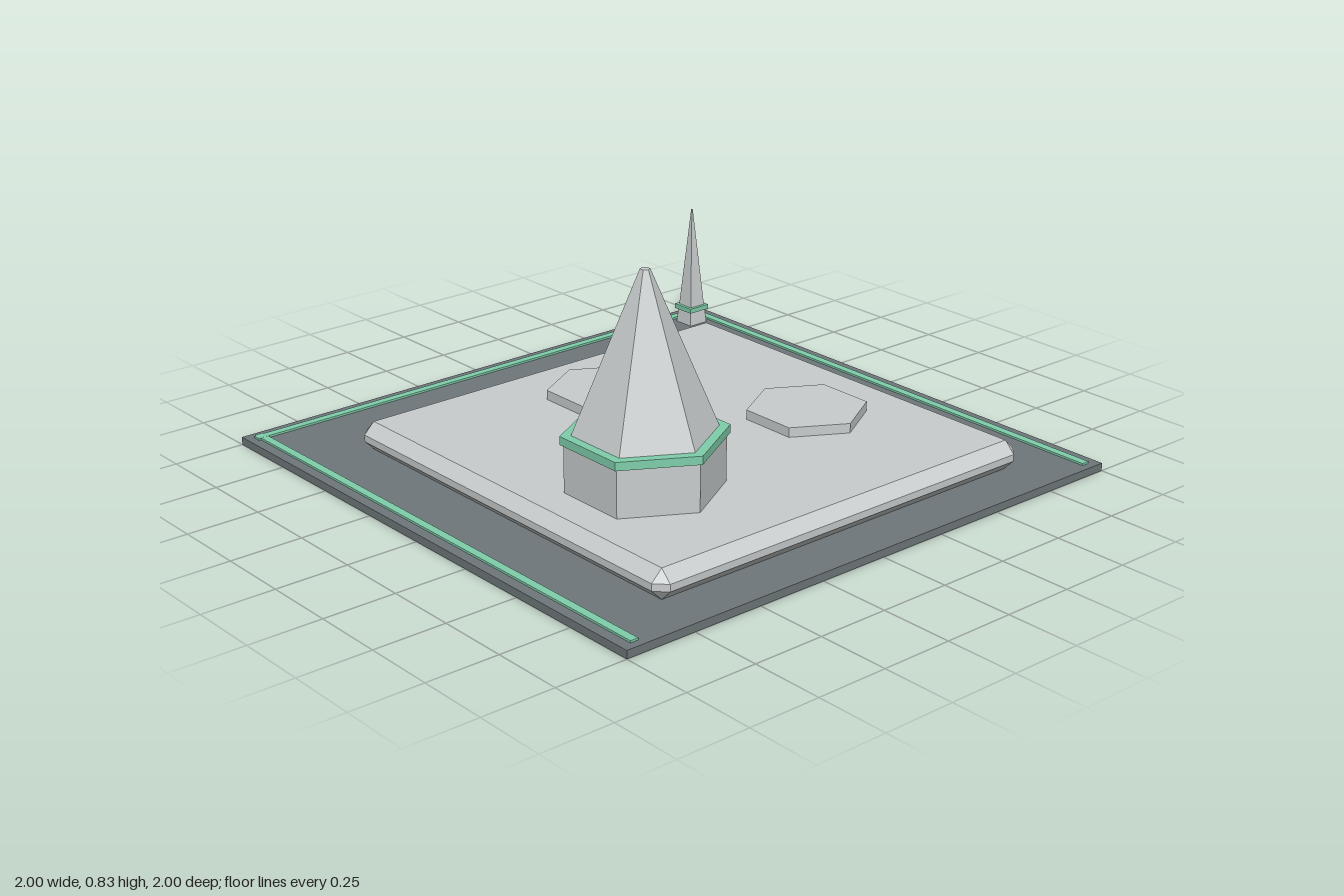
import * as THREE from 'three';
import { ConvexGeometry } from 'three/addons/geometries/ConvexGeometry.js';

export function createModel() {
  const mat = (name, color) => {
    const m = new THREE.MeshStandardMaterial({ color });
    m.name = name;
    return m;
  };
  const stone = mat('pale grey', 0xc9cdcd);
  const ground = mat('slate grey', 0x6e777a);
  const trim = mat('mint green', 0x80cfab);

  const model = new THREE.Group();
  model.name = 'towerPlaza';

  const add = (parent, name, geometry, material, x = 0, y = 0, z = 0) => {
    const mesh = new THREE.Mesh(geometry, material);
    mesh.name = name;
    mesh.position.set(x, y, z);
    parent.add(mesh);
    return mesh;
  };

  // Flat-sided tapered prism standing on y0; hexagons point along z, squares align to the axes
  const prism = (sides, rBottom, rTop, y0, y1) => {
    const g = new THREE.CylinderGeometry(rTop, rBottom, y1 - y0, sides);
    if (sides === 4) g.rotateY(Math.PI / 4);
    g.translate(0, (y0 + y1) / 2, 0);
    const flat = g.toNonIndexed();
    flat.computeVertexNormals();
    return flat;
  };

  // Box with every edge and corner chamfered
  const chamferedBox = (w, h, d, c) => {
    const points = [];
    for (const sx of [-1, 1]) for (const sy of [-1, 1]) for (const sz of [-1, 1]) {
      const [x, y, z] = [w / 2, h / 2, d / 2];
      points.push(
        new THREE.Vector3(sx * x, sy * (y - c), sz * (z - c)),
        new THREE.Vector3(sx * (x - c), sy * y, sz * (z - c)),
        new THREE.Vector3(sx * (x - c), sy * (y - c), sz * z));
    }
    return new ConvexGeometry(points);
  };

  // Ground slab with light strips along the sides and back
  const baseTop = 0.027;
  add(model, 'groundSlab', new THREE.BoxGeometry(2, baseTop, 2), ground, 0, baseTop / 2, 0);
  for (const side of [-1, 1]) {
    add(model, side > 0 ? 'leftStrip' : 'rightStrip',
      new THREE.BoxGeometry(0.028, 0.008, 1.945), trim, side * 0.95, baseTop + 0.003, 0);
  }
  add(model, 'backStrip', new THREE.BoxGeometry(1.945, 0.0084, 0.028), trim, 0, baseTop + 0.003, -0.952);

  // Raised platform
  add(model, 'platform', chamferedBox(1.525, 0.1, 1.525, 0.038), stone, 0, 0.077, 0.1);

  // Hexagonal pads
  for (const [x, z] of [[0, -0.307], [0.388, 0.255]]) {
    add(model, 'hexPad', prism(6, 0.203, 0.203, 0.12, 0.16), stone, x, 0, z);
  }

  // Hexagonal tower with band and steep roof
  const tower = new THREE.Group();
  tower.name = 'tower';
  tower.position.set(-0.39, 0, 0.357);
  model.add(tower);
  add(tower, 'towerWall', prism(6, 0.253, 0.253, 0.12, 0.29), stone);
  add(tower, 'towerBand', prism(6, 0.264, 0.264, 0.286, 0.314), trim);
  add(tower, 'towerRoof', prism(6, 0.23, 0.016, 0.313, 0.833), stone);

  // Light bar lying up the middle of one rear roof face
  const barPivot = new THREE.Group();
  barPivot.name = 'roofBar';
  barPivot.rotation.y = THREE.MathUtils.degToRad(150);
  tower.add(barPivot);
  const bar = add(barPivot, 'roofLightBar', new THREE.BoxGeometry(0.022, 0.345, 0.024), trim, 0, 0.512, 0.139);
  bar.rotation.x = -Math.atan(0.356);

  // Square corner spire
  const spire = new THREE.Group();
  spire.name = 'cornerSpire';
  spire.position.set(0.876, 0, -0.879);
  model.add(spire);
  const diag = Math.SQRT2;
  add(spire, 'spireFoot', prism(4, 0.04 * diag, 0.034 * diag, 0.02, 0.085), stone);
  add(spire, 'spireBand', prism(4, 0.044 * diag, 0.044 * diag, 0.079, 0.096), trim);
  add(spire, 'spireNeedle', prism(4, 0.033 * diag, 0.002 * diag, 0.09, 0.467), stone);

  return model;
}
